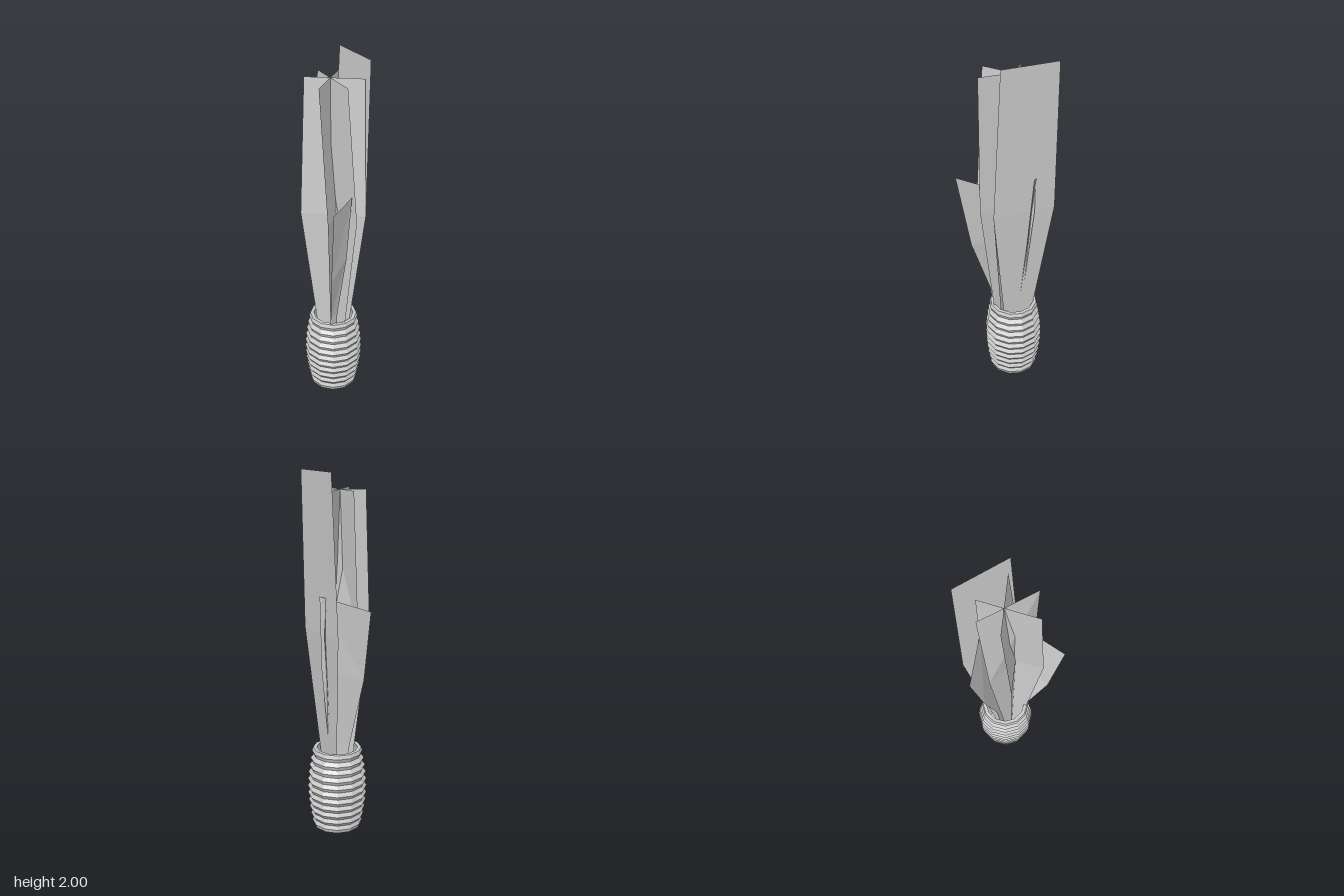
import * as THREE from 'three';

const CX = -0.008, CZ = -0.048; // vase axis

// A leaf is a flat-shaded strip: rows of [left xyz, right xyz] from top to bottom.
function makeLeaf(name, rows, material) {
  const pos = [];
  for (let i = 0; i < rows.length - 1; i++) {
    const [a, b] = rows[i], [c, d] = rows[i + 1];
    pos.push(...a, ...c, ...b, ...b, ...c, ...d);
  }
  const geo = new THREE.BufferGeometry();
  geo.setAttribute('position', new THREE.Float32BufferAttribute(pos, 3));
  geo.computeVertexNormals();
  const mesh = new THREE.Mesh(geo, material);
  mesh.name = name;
  return mesh;
}

// Tall leaf: top edge, widest edge, then a taper to a narrow root inside the vase.
function tallLeaf(name, topY, top, mid, root, material) {
  const row = (y, [x0, z0, x1, z1]) => [[x0, y, z0], [x1, y, z1]];
  return makeLeaf(name, [row(topY, top), row(1.15, mid), row(0.05, root)], material);
}

export function createModel() {
  const group = new THREE.Group();
  const material = new THREE.MeshStandardMaterial({
    color: 0xcccccc, flatShading: true, side: THREE.DoubleSide,
  });

  // Ribbed, barrel-shaped vase with a thin rim and inner wall
  const ribs = 11, height = 0.47;
  const bulge = (t) => 0.125 + 0.03 * Math.sin(Math.PI * t);
  const profile = [];
  for (let i = 0; i <= ribs * 2; i++) {
    const t = i / (ribs * 2);
    profile.push(new THREE.Vector2(bulge(t) + (i % 2 ? 0.013 : 0), t * height));
  }
  profile[0].x = profile[ribs * 2].x = 0.135;
  for (const t of [1, 0.75, 0.5, 0.25, 0.05]) {
    profile.push(new THREE.Vector2(bulge(t) - 0.01, t * height));
  }
  const vase = new THREE.Mesh(new THREE.LatheGeometry(profile, 12), material);
  vase.name = 'vase';
  vase.position.set(CX, 0, CZ);
  group.add(vase);

  // Vase floor
  const floor = new THREE.Mesh(new THREE.CircleGeometry(0.12, 12).rotateX(-Math.PI / 2), material);
  floor.name = 'vaseFloor';
  floor.position.set(CX, 0.025, CZ);
  group.add(floor);

  // Three tall crossing leaves, each root a shrunken copy of its widest edge
  const crossing = [
    [[-0.157, -0.057, 0.153, -0.02], [-0.185, -0.01, 0.168, 0.033]],
    [[-0.09, -0.168, 0.065, 0.125], [-0.118, -0.125, 0.118, 0.115]],
    [[0.02, -0.17, -0.078, 0.13], [0.062, -0.17, -0.035, 0.163]],
  ];
  crossing.forEach(([top, mid], i) => {
    const root = mid.map((v, k) => {
      const c = k % 2 ? -0.015 : -0.01;
      return c + (v - c) * 0.26;
    });
    group.add(tallLeaf(`crossingLeaf${i + 1}`, 1.9, top, mid, root, material));
  });

  // Tallest leaf at the back left
  group.add(tallLeaf('tallBackLeaf', 2,
    [0.025, -0.273, 0.18, -0.008], [-0.01, -0.268, 0.168, 0.033], [0, -0.1, 0.04, -0.03], material));

  // Short leaf leaning out at the front
  group.add(makeLeaf('shortFrontLeaf', [
    [[-0.005, 1.275, 0.272], [0.09, 1.305, 0.12]],
    [[-0.018, 0.83, 0.197], [0.065, 0.92, 0.095]],
    [[-0.02, 0.53, 0.09], [0.015, 0.53, 0.05]],
    [[-0.02, 0.05, 0.04], [0, 0.05, 0.015]],
  ], material));

  // Short leaf leaning out at the back
  group.add(makeLeaf('shortBackLeaf', [
    [[-0.18, 1.29, -0.225], [0.086, 1.36, -0.168]],
    [[-0.15, 0.9, -0.16], [0.077, 0.95, -0.135]],
    [[-0.075, 0.5, -0.1], [0.04, 0.5, -0.09]],
    [[-0.035, 0.05, -0.07], [0.02, 0.05, -0.06]],
  ], material));

  return group;
}
